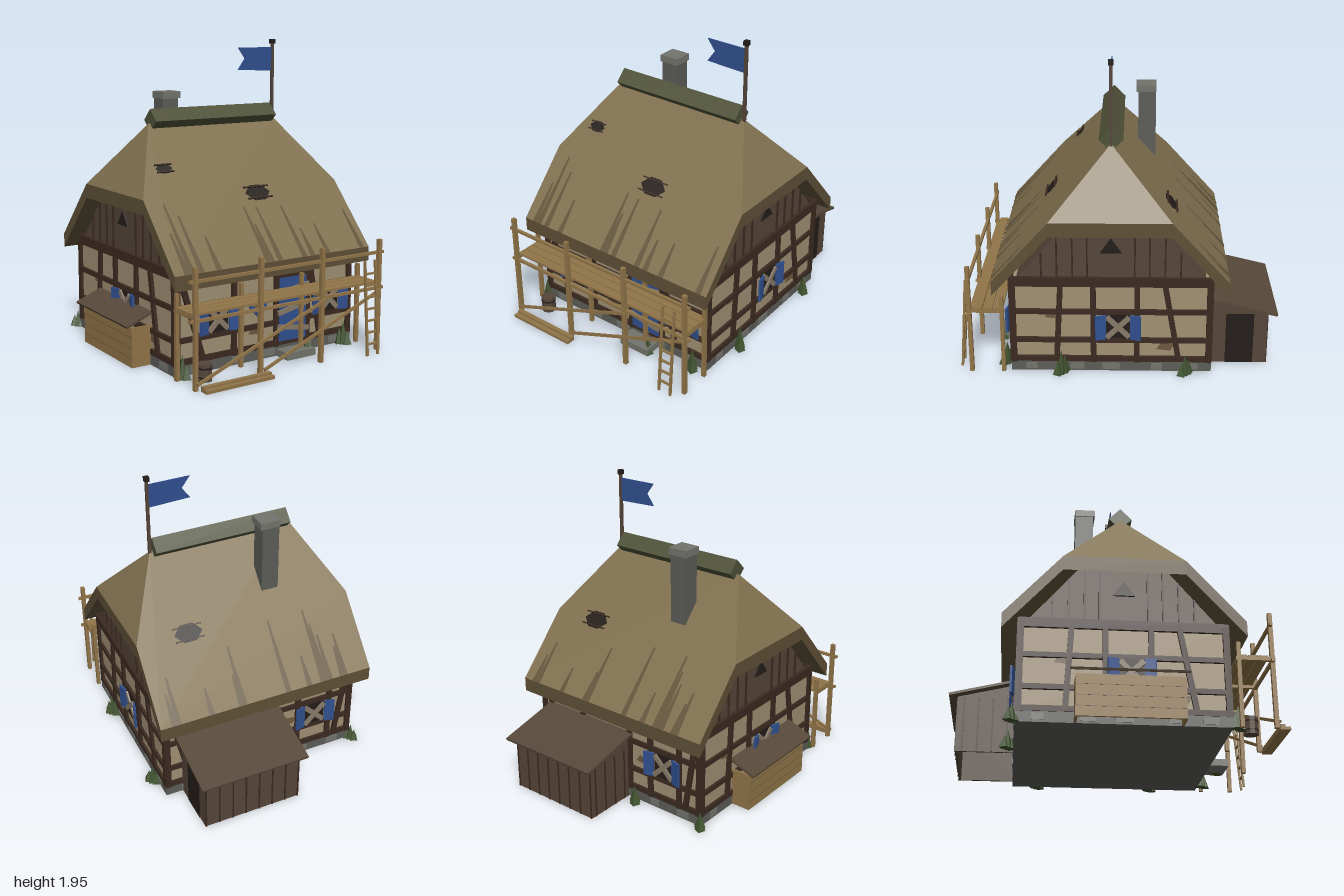
import * as THREE from 'three';

const C = {
  plaster: 0xa09073, timber: 0x3b2a21, plank: 0x554539, shedRoof: 0x57493a, stone: 0x5c5c58, paleStone: 0x74746e,
  thatch: 0x80704f, thatchEdge: 0x5f5037, streak: 0x63543a, moss: 0x4e5138, blue: 0x30508f,
  dark: 0x241d1a, board: 0x877a68, scaffold: 0x917548, grass: 0x40532f, patch: 0x6e5740,
};
const mats = {};
const mat = (c) => (mats[c] ??= new THREE.MeshStandardMaterial({ color: C[c], flatShading: true, side: THREE.DoubleSide }));

function add(parent, name, geo, color, x = 0, y = 0, z = 0) {
  const m = new THREE.Mesh(geo, mat(color));
  m.name = name;
  m.position.set(x, y, z);
  parent.add(m);
  return m;
}
const box = (p, name, color, w, h, d, x, y, z) => add(p, name, new THREE.BoxGeometry(w, h, d), color, x, y, z);

// Square bar between two points
function bar(p, name, color, a, b, w, d = w) {
  const A = new THREE.Vector3(...a), B = new THREE.Vector3(...b);
  const m = add(p, name, new THREE.BoxGeometry(w, A.distanceTo(B), d), color);
  m.position.copy(A).lerp(B, 0.5);
  m.quaternion.setFromUnitVectors(new THREE.Vector3(0, 1, 0), B.sub(A).normalize());
  return m;
}
const flat = (pts) => new THREE.Shape(pts.map(([x, y]) => new THREE.Vector2(x, y)));
const slab = (pts, depth) => new THREE.ExtrudeGeometry(flat(pts), { depth, bevelEnabled: false });

function polygons(list) {
  const v = [];
  for (const f of list) for (let i = 1; i < f.length - 1; i++) v.push(...f[0], ...f[i], ...f[i + 1]);
  const g = new THREE.BufferGeometry();
  g.setAttribute('position', new THREE.Float32BufferAttribute(v, 3));
  g.computeVertexNormals();
  return g;
}

// Roof measures: ridge height and line, slope run per rise
const RIDGE = 1.44, ZC = 0.042, RUN = 0.903;

function buildRoof(root) {
  const roof = new THREE.Group();
  roof.name = 'roof';
  root.add(roof);
  const P = (x, y, s) => [x, y, ZC + s * (RIDGE - y) * RUN];
  const down = ([x, y, z]) => [x, y - 0.092, z];
  const L = -0.685, R = 0.78, rl = -0.43, rr = 0.53, eave = 0.64, hip = 1.03;
  const top = [
    [P(L, eave, 1), P(R, eave, 1), P(R, hip, 1), P(rr, RIDGE, 1), P(rl, RIDGE, 1), P(L, hip, 1)],
    [P(R, eave, -1), P(L, eave, -1), P(L, hip, -1), P(rl, RIDGE, -1), P(rr, RIDGE, -1), P(R, hip, -1)],
    [P(R, hip, 1), P(R, hip, -1), P(rr, RIDGE, 1)],
    [P(L, hip, -1), P(L, hip, 1), P(rl, RIDGE, 1)],
  ];
  add(roof, 'thatch', polygons(top), 'thatch');
  // Thickness: the rim around eaves, verges and hips, then the underside
  const rim = [P(L, eave, 1), P(R, eave, 1), P(R, hip, 1), P(R, hip, -1), P(R, eave, -1), P(L, eave, -1), P(L, hip, -1), P(L, hip, 1)];
  const edge = rim.map((a, i) => { const b = rim[(i + 1) % 8]; return [down(a), down(b), b, a]; });
  add(roof, 'thatchEdge', polygons([...edge, ...top.map((f) => f.map(down).reverse())]), 'thatchEdge');

  const cap = box(roof, 'ridgeCap', 'moss', 0.93, 0.105, 0.105, 0.047, 1.457, ZC);
  cap.rotation.x = Math.PI / 4;

  // Frame lying on a roof slope, y up the slope
  const onSlope = (name, side, x, y) => {
    const g = new THREE.Group();
    g.name = name;
    g.position.set(...P(x, y, side));
    g.rotation.set(-(Math.PI / 2 - Math.atan(1 / RUN)), side < 0 ? Math.PI : 0, 0, 'YXZ');
    roof.add(g);
    return g;
  };
  // Weathered streaks: x, length along the slope
  const streaks = {
    1: [[-0.6, 0.28], [-0.565, 0.48], [-0.5, 0.39], [-0.38, 0.23], [-0.02, 0.4], [0.005, 0.27], [0.07, 0.39], [0.255, 0.38], [0.32, 0.2], [0.44, 0.22], [0.72, 0.3]],
    '-1': [[-0.5, 0.28], [-0.48, 0.2], [-0.39, 0.3], [-0.36, 0.38], [-0.34, 0.48], [-0.24, 0.2], [-0.09, 0.47], [0.22, 0.38], [0.24, 0.2], [0.44, 0.17], [0.66, 0.3], [0.69, 0.2]],
  };
  for (const s of [1, -1]) for (const [x, len] of streaks[s]) {
    const g = onSlope('streak', s, x, eave);
    add(g, 'thatchStreak', new THREE.ShapeGeometry(flat([[-0.02, 0], [0.02, 0], [0.006, len], [-0.006, len]])), 'streak', 0, 0, 0.003);
  }
  // Holes with bare battens
  for (const [s, x, y, w] of [[1, -0.46, 1.183, 0.12], [1, 0.13, 1.005, 0.19], [-1, 0.44, 1.03, 0.19]]) {
    const g = onSlope('roofHole', s, x, y);
    const hole = [[-0.5, 0], [-0.22, -0.3], [0.22, -0.3], [0.5, 0], [0.22, 0.3], [-0.22, 0.3]].map(([a, b]) => [a * w, b * w]);
    add(g, 'hole', new THREE.ShapeGeometry(flat(hole)), 'dark', 0, 0, 0.004);
    for (const k of [-1, 1]) box(g, 'batten', 'timber', w, 0.008, 0.01, 0, k * w * 0.22, 0.009);
  }
  // Chimney and flag
  box(roof, 'chimney', 'stone', 0.115, 0.6, 0.115, -0.17, 1.29, -0.178);
  box(roof, 'chimneyCap', 'paleStone', 0.135, 0.045, 0.13, -0.167, 1.598, -0.173);
  box(roof, 'flagPole', 'plank', 0.018, 0.56, 0.018, 0.53, 1.66, ZC);
  box(roof, 'poleTop', 'dark', 0.03, 0.03, 0.03, 0.53, 1.938, ZC);
  add(roof, 'flag', slab([[0.525, 1.745], [0.525, 1.9], [0.25, 1.902], [0.305, 1.83], [0.25, 1.755]], 0.006), 'blue', 0, 0, ZC - 0.003);
}

// Boarded window with two shutters, in wall coordinates
function windowUnit(wall, x, y = 0.315) {
  const g = new THREE.Group();
  g.name = 'window';
  g.position.set(x, y, 0);
  wall.add(g);
  box(g, 'opening', 'dark', 0.15, 0.165, 0.016, 0, 0, 0.008);
  for (const s of [-1, 1]) {
    box(g, 'shutter', 'blue', 0.068, 0.165, 0.014, s * 0.108, 0, 0.034).rotation.y = -s * 0.25;
    bar(g, 'nailedBoard', 'board', [-0.07, -s * 0.07, 0.026 + s * 0.003], [0.07, s * 0.07, 0.026 + s * 0.003], 0.032, 0.012);
  }
}

// One timber-framed wall: half length, uprights, braces, windows, plaster patches
function wall(root, name, pos, turn, half, posts, braces, windows, patches) {
  const w = new THREE.Group();
  w.name = name;
  w.position.set(...pos);
  w.rotation.y = turn;
  root.add(w);
  for (const [y, h] of [[0.083, 0.035], [0.215, 0.032], [0.412, 0.032], [0.615, 0.06]]) box(w, 'rail', 'timber', half * 2, h, 0.024, 0, y, 0.004);
  for (const x of [-half + 0.015, ...posts, half - 0.015]) box(w, 'post', 'timber', 0.034, 0.56, 0.03, x, 0.34, 0.002);
  for (const [a, b] of braces) bar(w, 'brace', 'timber', [a, 0.08, 0.004], [b, 0.6, 0.004], 0.034, 0.026);
  for (const x of windows) windowUnit(w, x);
  for (const [x, y] of patches) add(w, 'barePatch', new THREE.ShapeGeometry(flat([[-0.05, -0.02], [0.04, -0.03], [0.06, 0.015], [-0.02, 0.025]])), 'patch', x, y, 0.003);
  for (let i = 0; i < 5; i++) box(w, 'footingStone', 'paleStone', 0.07 + 0.02 * (i % 3), 0.042, 0.02, half * (-0.8 + i * 0.4 + 0.06 * (i % 2)), 0.034, 0.008);
  return w;
}

function buildHouse(root) {
  const house = new THREE.Group();
  house.name = 'house';
  root.add(house);
  box(house, 'footing', 'stone', 1.35, 0.065, 1.25, 0.05, 0.0325, 0.04);
  box(house, 'plasterWalls', 'plaster', 1.32, 0.56, 1.22, 0.05, 0.34, 0.04);
  const attic = add(house, 'attic', slab([[-0.6, 0.6], [0.6, 0.6], [0.235, 1.03], [-0.235, 1.03]], 1.31), 'plank', -0.605, 0, 0.04);
  attic.rotation.y = Math.PI / 2;

  const Q = Math.PI / 2;
  const front = wall(house, 'frontWall', [0.05, 0, 0.652], 0, 0.67, [-0.25, 0.07, 0.315], [[-0.475, -0.635], [0.42, 0.325]], [-0.375, 0.48], [[-0.09, 0.19]]);
  wall(house, 'backWall', [0.05, 0, -0.572], 2 * Q, 0.67, [0.1, 0.27, 0.5, -0.3], [[0.55, 0.63], [-0.5, -0.62]], [0.385], [[0.2, 0.3]]);
  const sides = [[1, 0.712], [-1, -0.612]].map(([s, x]) =>
    wall(house, s > 0 ? 'leftWall' : 'rightWall', [x, 0, 0.04], s * Q, 0.62, [-0.11, 0.16], [[-0.34, -0.31], [0.42, 0.33]], [0.043], [[0.33, 0.17], [-0.36, 0.39]]));
  // Gable boarding and vent
  for (const w of sides) {
    for (const s of [-1, 1]) for (const d of [0.145, 0.235, 0.33, 0.425]) {
      const topY = Math.min(1.02, 0.6 + (0.6 - d) * 1.17);
      box(w, 'gableBatten', 'timber', 0.01, topY - 0.63, 0.014, s * d, (topY + 0.63) / 2, -0.004);
    }
    add(w, 'gableVent', slab([[-0.065, 0.81], [0.065, 0.81], [0, 0.905]], 0.012), 'dark');
  }

  // Boarded-up door with step and shield plaque
  box(front, 'door', 'blue', 0.21, 0.41, 0.03, 0.19, 0.295, 0.006);
  box(front, 'doorLintel', 'timber', 0.27, 0.03, 0.034, 0.19, 0.515, 0.006);
  for (const [y, t] of [[0.42, 0.02], [0.3, 0.025], [0.17, -0.02]]) bar(front, 'doorBoard', 'board', [0.07, y - t, 0.028], [0.31, y + t, 0.028], 0.03, 0.014);
  box(front, 'doorStep', 'paleStone', 0.22, 0.045, 0.13, 0.18, 0.0225, 0.065);
  add(front, 'shieldPlaque', slab([[-0.06, 0.15], [0.06, 0.15], [0.06, 0.06], [0, 0], [-0.06, 0.06]], 0.02), 'blue', -0.08, 0.28, 0.01);
}

function buildSheds(root) {
  // Rear shed: open-bottomed boarded walls, sloping roof, doorway
  const shed = new THREE.Group();
  shed.name = 'rearShed';
  root.add(shed);
  const sideShape = [[0.58, 0], [0.94, 0], [0.94, 0.352], [0.58, 0.44]];
  for (const x of [-0.04, 0.595]) add(shed, 'shedSide', slab(sideShape, 0.015), 'plank', x).rotation.y = Math.PI / 2;
  box(shed, 'shedBack', 'plank', 0.65, 0.352, 0.015, 0.285, 0.176, -0.9325);
  bar(shed, 'shedRoof', 'shedRoof', [0.288, 0.46, -0.575], [0.288, 0.357, -0.996], 0.72, 0.016);
  for (const z of [-0.63, -0.72, -0.81, -0.9]) box(shed, 'shedBatten', 'timber', 0.008, 0.35, 0.01, -0.04, 0.175, z);
  for (let i = 0; i <= 7; i++) box(shed, 'shedBatten', 'timber', 0.01, 0.345, 0.008, -0.035 + i * 0.0914, 0.1725, -0.94);
  box(shed, 'shedDoorway', 'dark', 0.01, 0.345, 0.175, 0.608, 0.1725, -0.767);

  // Low lean-to store on the side, open underneath
  const store = new THREE.Group();
  store.name = 'sideStore';
  root.add(store);
  box(store, 'storeFront', 'scaffold', 0.014, 0.25, 0.63, -0.7475, 0.125, 0.065);
  for (const z of [-0.243, 0.373]) box(store, 'storeEnd', 'scaffold', 0.135, 0.25, 0.014, -0.687, 0.125, z);
  for (const y of [0.06, 0.125, 0.19]) box(store, 'boardSeam', 'patch', 0.004, 0.004, 0.632, -0.754, y, 0.065);
  bar(store, 'storeRoof', 'shedRoof', [-0.798, 0.265, 0.063], [-0.62, 0.335, 0.063], 0.014, 0.675);
}

function buildScaffold(root) {
  const s = new THREE.Group();
  s.name = 'scaffold';
  root.add(s);
  for (const x of [-0.64, -0.185, 0.275, 0.735]) {
    box(s, 'frontPole', 'scaffold', 0.026, 0.72, 0.026, x, 0.36, 0.912);
    box(s, 'rearPole', 'scaffold', 0.024, 0.525, 0.024, x, 0.262, 0.712);
    box(s, 'crossBearer', 'scaffold', 0.02, 0.02, 0.235, x, 0.422, 0.812);
  }
  for (const z of [0.733, 0.797, 0.861]) box(s, 'deckPlank', 'scaffold', 1.39, 0.014, 0.058, 0.048, 0.438, z);
  for (const y of [0.407, 0.637]) box(s, 'ledger', 'scaffold', 1.45, 0.018, 0.018, 0.045, y, 0.908);
  bar(s, 'diagonal', 'scaffold', [-0.64, 0.04, 0.932], [0.29, 0.4, 0.932], 0.018, 0.012);
  bar(s, 'diagonal', 'scaffold', [-0.17, 0.04, 0.932], [0.735, 0.4, 0.932], 0.018, 0.012);
  // planks lying on the ground
  for (let i = 0; i < 2; i++) box(s, 'stackedPlank', 'scaffold', 0.48, 0.02 + 0.012 * i, 0.03, -0.38, 0.01 + 0.006 * i, 0.984 - i * 0.032);

  const ladder = new THREE.Group();
  ladder.name = 'ladder';
  s.add(ladder);
  for (const x of [0.595, 0.68]) bar(ladder, 'ladderRail', 'scaffold', [x, 0, 0.982], [x, 0.6, 0.937], 0.014);
  for (let i = 1; i < 8; i++) box(ladder, 'rung', 'scaffold', 0.085, 0.012, 0.012, 0.637, i * 0.074, 0.982 - i * 0.0056);

  add(root, 'barrel', new THREE.CylinderGeometry(0.046, 0.046, 0.105, 10), 'plank', -0.5, 0.0525, 0.792);
  for (const y of [0.025, 0.08]) add(root, 'barrelHoop', new THREE.CylinderGeometry(0.048, 0.048, 0.01, 10), 'dark', -0.5, y, 0.792);
}

export function createModel() {
  const root = new THREE.Group();
  root.name = 'timberFramedHouse';
  buildHouse(root);
  buildRoof(root);
  buildSheds(root);
  buildScaffold(root);
  // Grass tufts, a tall cone with two lower ones: x, z, height
  for (const [x, z, h] of [[-0.595, 0.7, 0.15], [0.31, 0.73, 0.1], [0.635, 0.7, 0.15], [0.755, 0.35, 0.16], [0.755, -0.42, 0.13], [-0.12, -0.62, 0.12], [-0.63, -0.6, 0.11]]) {
    const tuft = new THREE.Group();
    tuft.name = 'grassTuft';
    tuft.position.set(x, 0, z);
    root.add(tuft);
    for (const [dx, dz, k] of [[0, 0, 1], [0.016, 0.02, 0.6], [-0.016, -0.02, 0.7]]) {
      add(tuft, 'blade', new THREE.ConeGeometry(0.036, h * k, 4), 'grass', dx, (h * k) / 2, dz).rotation.y = 0.4;
    }
  }
  return root;
}
